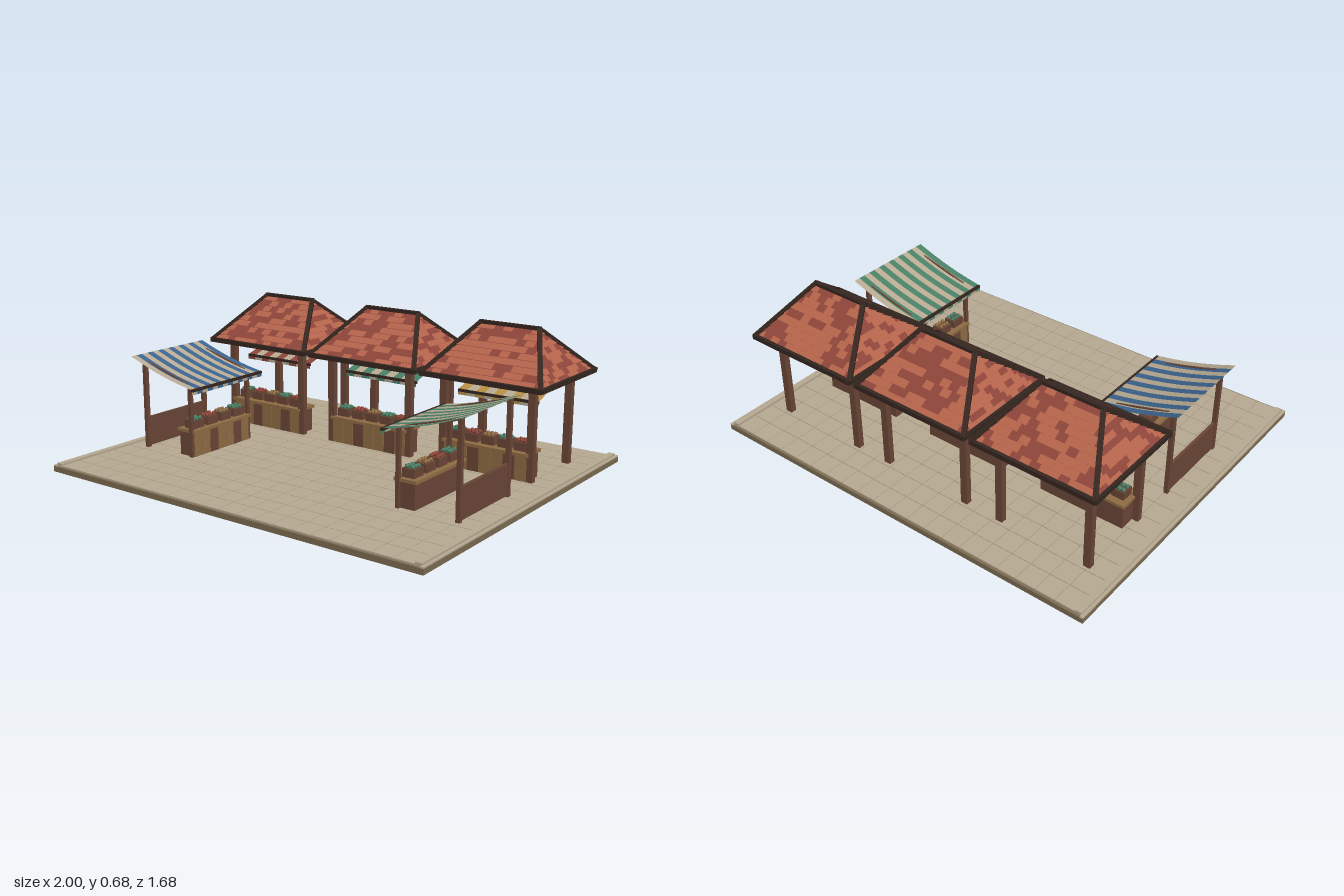
import * as THREE from 'three';
import { mergeGeometries } from 'three/addons/utils/BufferGeometryUtils.js';

const mat = (name, color) => {
  const m = new THREE.MeshStandardMaterial({ color, side: THREE.DoubleSide });
  m.name = name;
  return m;
};
const V = (x, y, z) => new THREE.Vector3(x, y, z);
const cuboid = (w, h, d, x, y, z) => new THREE.BoxGeometry(w, h, d).translate(x, y, z);

// square beam between two points
function beam(a, b, t) {
  const o = new THREE.Object3D();
  o.position.copy(a).add(b).multiplyScalar(0.5);
  o.lookAt(b);
  o.updateMatrix();
  return new THREE.BoxGeometry(t, t, a.distanceTo(b) + t * 0.6).applyMatrix4(o.matrix);
}

export function createModel() {
  const stone = mat('pale stone and canvas', 0xb9ab93);
  const slab = mat('slab edge', 0x7d6d52);
  const wood = mat('brown wood', 0x6a4636);
  const trim = mat('dark trim', 0x35261f);
  const plank = mat('tan planks', 0x906d44);
  const tileLight = mat('light roof tile', 0xb5644b);
  const tileDark = mat('dark roof tile', 0x8e4539);
  const blue = mat('blue canvas', 0x3c648f);
  const green = mat('green canvas', 0x4a8067);
  const yellow = mat('yellow canvas', 0xb98f45);

  let seed = 11;
  const rnd = () => (seed = (seed * 16807) % 2147483647) / 2147483647;
  const root = new THREE.Group();
  root.name = 'marketSquare';
  const add = (parent, name, geos, material) => {
    const mesh = new THREE.Mesh(mergeGeometries([geos].flat()), material);
    mesh.name = name;
    parent.add(mesh);
    return mesh;
  };

  // paved ground with kerbs
  add(root, 'slab', cuboid(2, 0.025, 1.68, 0, 0.0125, 0), slab);
  const paving = [], nx = 20, nz = 16, px = 1.91 / nx, pz = 1.66 / nz;
  for (let i = 0; i < nx; i++)
    for (let j = 0; j < nz; j++)
      paving.push(cuboid(px - 0.003, 0.01, pz - 0.003, (i + 0.5) * px - 0.955, 0.026, (j + 0.5) * pz - 0.83));
  add(root, 'paving', paving, stone);
  add(root, 'kerbs', [-1, 1].map(s => cuboid(0.03, 0.018, 1.66, s * 0.972, 0.031, 0)), stone);
  add(root, 'edgeStones', [-1, 1].map(s => cuboid(0.016, 0.008, 1.68, s * 0.992, 0.027, 0)), stone);

  // striped cloth with a slight sag and a hanging front edge
  function awning(parent, w, n, zb, yb, zf, yf, drop, colours) {
    const steps = 5, profile = [];
    for (let i = 0; i <= steps; i++) {
      const t = i / steps;
      profile.push([zb + (zf - zb) * t, yb + (yf - yb) * t - 0.012 * Math.sin(Math.PI * t)]);
    }
    profile.push([zf, yf - drop]);
    const sets = [[], []], sw = w / n;
    for (let k = 0; k < n; k++) {
      const g = new THREE.PlaneGeometry(sw, 1, 1, steps + 1);
      const p = g.attributes.position;
      for (let i = 0; i < p.count; i++) {
        const [z, y] = profile[Math.floor(i / 2)];
        p.setXYZ(i, p.getX(i) + (k + 0.5) * sw - w / 2, y, z);
      }
      const flat = g.toNonIndexed();
      flat.computeVertexNormals();
      sets[k % 2].push(flat);
    }
    sets.forEach((s, i) => add(parent, i ? 'awningOddStripes' : 'awningEvenStripes', s, colours[i]));
    add(parent, 'awningBar', cuboid(w, 0.012, 0.012, 0, yf - 0.004, zf - 0.004), trim);
  }

  // planked counter carrying crates of produce
  function counter(parent, w, zBack, zFront, count) {
    const d = zFront - zBack, zc = (zBack + zFront) / 2;
    add(parent, 'counterBody', cuboid(w, 0.115, d - 0.008, 0, 0.0875, zc - 0.004), wood);
    const sets = [[], []], n = 7, pw = w / n;
    for (let i = 0; i < n; i++)
      sets[[0, 0, 1, 0, 0, 1, 0][i]].push(cuboid(pw - 0.002, 0.113, 0.008, (i + 0.5) * pw - w / 2, 0.0865, zFront - 0.004));
    add(parent, 'tanPlanks', sets[0], plank);
    add(parent, 'brownPlanks', sets[1], wood);
    add(parent, 'counterTop', cuboid(w + 0.015, 0.014, d + 0.02, 0, 0.152, zc), plank);
    const crates = [], fruit = [[], [], []], step = (w - 0.01) / count;
    for (let i = 0; i < count; i++) {
      const x = (i + 0.5) * step - (w - 0.01) / 2;
      crates.push(cuboid(step * 0.76, 0.038, 0.06, x, 0.178, zc));
      for (let a = -1; a <= 1; a++)
        for (const b of [-1, 1])
          fruit[i % 3].push(new THREE.IcosahedronGeometry(0.011, 0)
            .translate(x + a * step * 0.23, 0.2 + rnd() * 0.004, zc + b * 0.014));
    }
    add(parent, 'crates', crates, wood);
    [green, tileDark, plank].forEach((m, i) => fruit[i].length && add(parent, 'produce', fruit[i], m));
  }

  // hipped roof: solid core, rows of tiles, dark caps on every edge
  function roof(parent) {
    const X = 0.295, Z = 0.262, R = 0.145, y0 = 0.462, y1 = 0.67;
    const A = V(-X, y0, Z), B = V(X, y0, Z), C = V(X, y0, -Z), D = V(-X, y0, -Z);
    const L = V(-R, y1, 0), M = V(R, y1, 0);
    const tris = [A, B, M, A, M, L, C, D, L, C, L, M, B, C, M, D, A, L, A, D, C, A, C, B];
    const core = new THREE.BufferGeometry().setFromPoints(tris);
    core.computeVertexNormals();
    const coreMesh = new THREE.Mesh(core, tileDark);
    coreMesh.name = 'roofCore';
    parent.add(coreMesh);

    const sets = [[], []], rows = 9;
    for (const [a, b, c, d] of [[A, B, M, L], [B, C, M, M], [C, D, L, M], [D, A, L, L]]) {
      const dir = b.clone().sub(a), len = dir.length();
      dir.normalize();
      const normal = dir.clone().cross(d.clone().sub(a)).normalize();
      const inset = d.clone().sub(a).dot(dir);
      const rise = d.clone().sub(a).addScaledVector(dir, -inset);
      const at = (u, v, lift) => {
        const lo = inset * v, hi = len - inset * v;
        return a.clone().addScaledVector(dir, Math.min(hi, Math.max(lo, u)))
          .addScaledVector(rise, v).addScaledVector(normal, lift);
      };
      for (let r = 0; r < rows; r++) {
        const v0 = r / rows, v1 = (r + 1) / rows, tw = 0.046;
        for (let u = -(r % 2) * tw / 2; u < len; u += tw) {
          const shade = rnd() < 0.62 ? 0 : 1;
          if (u + tw < inset * v0 || u > len - inset * v0) continue;
          const p = at(u, v0, 0.006), q = at(u + tw, v0, 0.006);
          const s = at(u + tw, v1, 0.002), t = at(u, v1, 0.002);
          sets[shade].push(p, q, s, p, s, t);
        }
      }
    }
    sets.forEach((pts, i) => {
      const g = new THREE.BufferGeometry().setFromPoints(pts);
      g.computeVertexNormals();
      const m = new THREE.Mesh(g, i ? tileDark : tileLight);
      m.name = i ? 'darkRoofTiles' : 'lightRoofTiles';
      parent.add(m);
    });
    add(parent, 'roofCaps', [[A, B], [B, C], [C, D], [D, A], [A, L], [D, L], [B, M], [C, M], [L, M]]
      .map(([a, b]) => beam(a, b, 0.022)), trim);
  }

  // three roofed stalls along the back
  [[-0.632, tileDark], [0, green], [0.632, yellow]].forEach(([x, cloth]) => {
    const stall = new THREE.Group();
    stall.name = 'roofedStall';
    stall.position.set(x, 0, -0.42);
    const posts = [];
    for (const sx of [-0.222, 0.222])
      for (const z of [-0.172, 0.18]) posts.push(cuboid(0.034, 0.435, 0.028, sx, 0.2425, z));
    add(stall, 'posts', posts, wood);
    counter(stall, 0.42, 0.09, 0.195, 5);
    awning(stall, 0.405, 9, -0.09, 0.455, 0.095, 0.368, 0.024, [cloth, stone]);
    roof(stall);
    root.add(stall);
  });

  // two open stalls facing each other at the sides
  [[-1, blue], [1, green]].forEach(([s, cloth]) => {
    const stall = new THREE.Group();
    stall.name = 'sideStall';
    stall.position.set(s * 0.715, 0, 0.18);
    stall.rotation.y = -s * Math.PI / 2;
    const posts = [];
    for (const x of [-0.195, 0.195])
      posts.push(cuboid(0.02, 0.43, 0.02, x, 0.24, -0.15), cuboid(0.018, 0.345, 0.018, x, 0.1975, 0.138));
    add(stall, 'posts', posts, wood);
    add(stall, 'backPanel', cuboid(0.39, 0.14, 0.014, 0, 0.108, -0.15), wood);
    add(stall, 'awningRails', [-0.195, 0.195].map(x =>
      beam(V(x, 0.452, -0.15), V(x, 0.373, 0.138), 0.009)), wood);
    counter(stall, 0.38, 0.06, 0.15, 4);
    awning(stall, 0.482, 14, -0.195, 0.475, 0.195, 0.368, 0.024, [stone, cloth]);
    root.add(stall);
  });

  return root;
}
